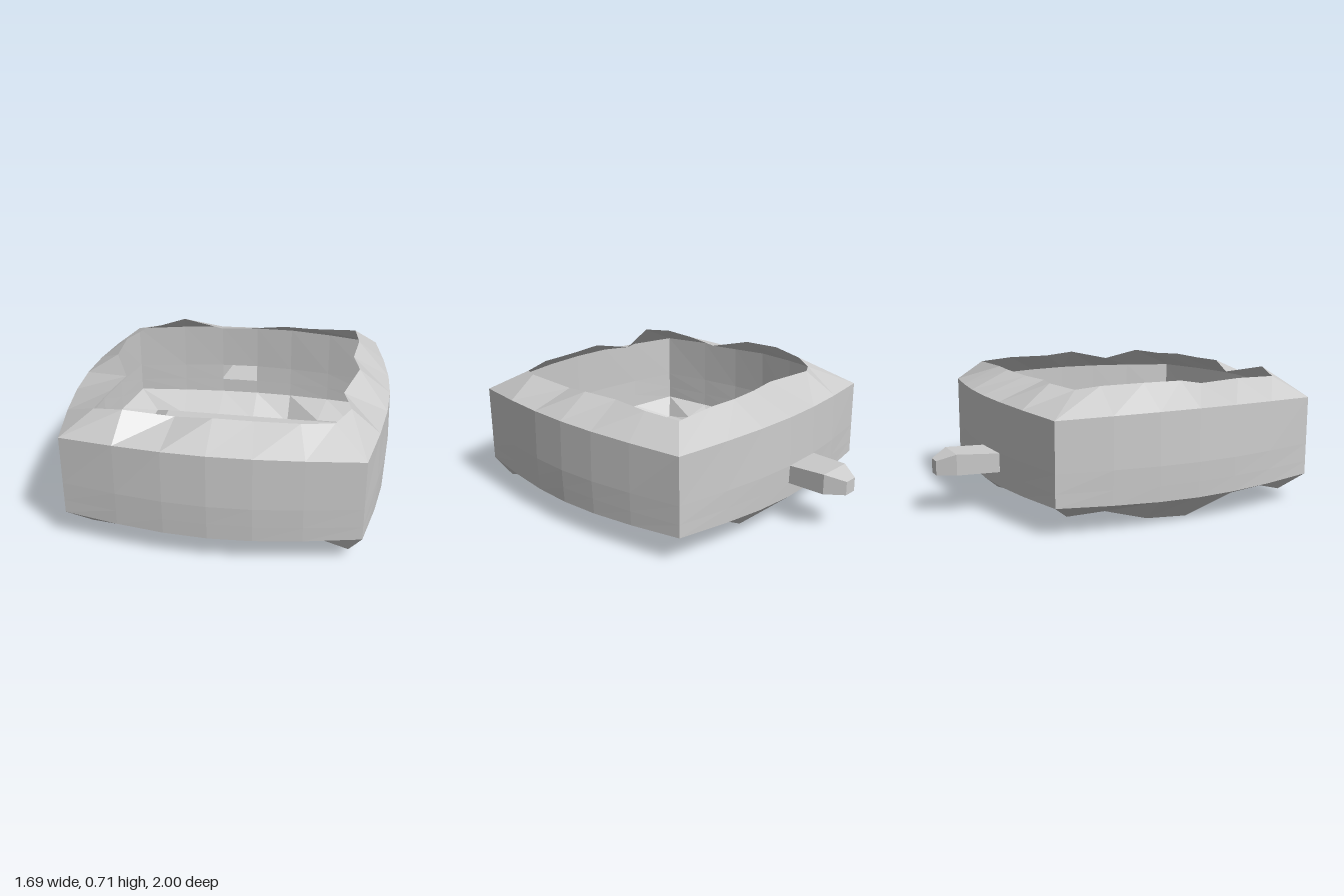
import * as THREE from 'three';

const N = 24; // points around the box, six per side
const material = new THREE.MeshStandardMaterial({
  color: 0xcccccc, flatShading: true, side: THREE.DoubleSide,
});

// Skins a stack of closed loops; skip(level, i) leaves a quad open.
function loft(loops, { cap = false, skip = () => false } = {}) {
  const n = loops[0].length;
  const index = [];
  for (let l = 0; l < loops.length - 1; l++) {
    for (let i = 0; i < n; i++) {
      if (skip(l, i)) continue;
      const a = l * n + i, b = l * n + (i + 1) % n;
      index.push(a, a + n, b, b, a + n, b + n);
    }
  }
  if (cap) {
    const s = (loops.length - 1) * n;
    for (let i = 1; i < n - 1; i++) index.push(s, s + i + 1, s + i);
  }
  const g = new THREE.BufferGeometry();
  g.setAttribute('position', new THREE.Float32BufferAttribute(loops.flat(2), 3));
  g.setIndex(index);
  const flat = g.toNonIndexed();
  flat.computeVertexNormals();
  return flat;
}

// Walks a square: back, right, front, left. t runs -1..1 along each side.
function squareLoop(point) {
  return Array.from({ length: N }, (_, k) => {
    const side = Math.floor(k / 6), t = (k % 6) / 3 - 1;
    const turn = ([u, y, v]) => [[u, y, -v], [v, y, u], [-u, y, v], [-v, y, -u]][side];
    const [x, y, z] = turn(point(t));
    return [x, y, z + 0.15];
  });
}

// Pillowed outline of the wall at a given height; the rims bow slightly.
function wallLoop(y, swell, bow) {
  return squareLoop((t) => {
    const u = 0.65 * t + 0.095 * t ** 3;
    const arch = 1 - t * t;
    return [u, y + bow * arch, 0.745 + (0.092 + swell) * arch];
  });
}

// Uneven crest of the upper rim
const topCrest = [
  [-0.55, 0.68, -0.40], [-0.42, 0.70, -0.48], [-0.18, 0.68, -0.41],
  [0, 0.68, -0.44], [0.20, 0.69, -0.47], [0.36, 0.69, -0.46],
  [0.62, 0.69, -0.48], [0.65, 0.70, -0.28], [0.63, 0.70, -0.05],
  [0.67, 0.71, 0.14], [0.60, 0.665, 0.35], [0.65, 0.70, 0.60],
  [0.58, 0.68, 0.73], [0.42, 0.69, 0.78], [0.20, 0.69, 0.79],
  [0, 0.695, 0.80], [-0.20, 0.655, 0.735], [-0.44, 0.71, 0.81],
  [-0.60, 0.68, 0.76], [-0.58, 0.68, 0.55], [-0.56, 0.665, 0.33],
  [-0.66, 0.705, 0.14], [-0.67, 0.71, -0.08], [-0.61, 0.70, -0.29],
];

// Uneven crest of the lower rim
const bottomCrest = [
  [-0.62, 0.06, -0.48], [-0.44, 0.06, -0.46], [-0.22, 0.05, -0.48],
  [0, 0.03, -0.50], [0.22, 0.01, -0.54], [0.42, 0.09, -0.44],
  [0.62, 0.08, -0.46], [0.62, 0.10, -0.27], [0.42, 0.15, -0.08],
  [0.41, 0.16, 0.15], [0.46, 0.15, 0.38], [0.55, 0.12, 0.58],
  [0.68, 0.04, 0.83], [0.45, 0.06, 0.76], [0.22, 0.07, 0.80],
  [0, 0.06, 0.78], [-0.22, 0.04, 0.78], [-0.44, 0.035, 0.80],
  [-0.64, 0.05, 0.80], [-0.62, 0.10, 0.60], [-0.62, 0.05, 0.40],
  [-0.70, 0, 0.16], [-0.68, 0.01, -0.06], [-0.62, 0.06, -0.27],
];

export function createModel() {
  const group = new THREE.Group();
  const add = (name, geometry) => {
    const mesh = new THREE.Mesh(geometry, material);
    mesh.name = name;
    group.add(mesh);
  };

  // Wall, with an opening at the back where the spout joins
  const lower = wallLoop(0.15, 0, -0.015);
  const upper = wallLoop(0.575, 0, 0.015);
  const wall = [lower, wallLoop(0.22, 0.004, 0), wallLoop(0.32, 0.008, 0), upper];
  add('wall', loft(wall, { skip: (l, i) => l === 1 && i === 2 }));

  // Rims rising above and hanging below the wall
  add('topRim', loft([upper, topCrest]));
  const floorEdge = squareLoop((t) => [0.52 * t, 0.12, 0.52]);
  add('bottomRim', loft([floorEdge, bottomCrest, lower]));

  // Floor
  const floor = new THREE.PlaneGeometry(1.04, 1.04).rotateX(-Math.PI / 2);
  add('floor', floor.translate(0, 0.12, 0.15));

  // Hollow tapering spout on the back
  const section = (x0, x1, y0, y1, z) =>
    [[x0, y0, z], [x0, y1, z], [x1, y1, z], [x1, y0, z]];
  add('spout', loft([
    section(-0.23, 0, 0.22, 0.32, -0.685),
    section(-0.2, -0.005, 0.22, 0.33, -0.905),
    section(-0.15, -0.075, 0.22, 0.295, -1),
  ], { cap: true }));

  return group;
}
